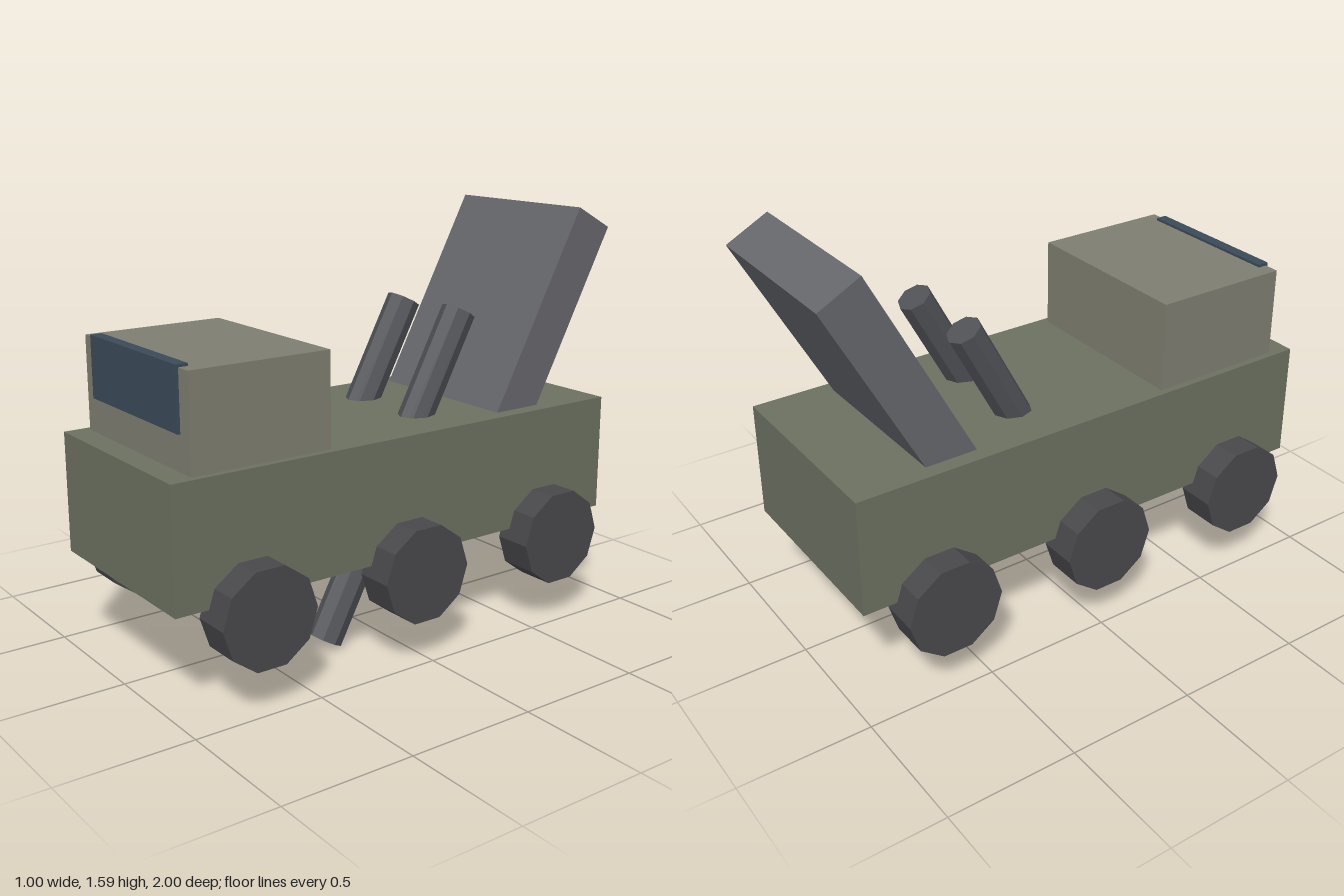
import * as THREE from 'three';

const TILT = -0.49; // backward lean shared by the panel and the tubes

const paint = (color) => new THREE.MeshStandardMaterial({ color, flatShading: true });

export function createModel() {
  const model = new THREE.Group();
  model.name = 'launcherTruck';

  const olive = paint(0x6b7060);
  const paleOlive = paint(0x7d7d70);
  const glass = paint(0x3a4a58);
  const rubber = paint(0x48484b);
  const steel = paint(0x65666b);
  const darkSteel = paint(0x505156);

  function add(name, geometry, material, x, y, z) {
    const mesh = new THREE.Mesh(geometry, material);
    mesh.name = name;
    mesh.position.set(x, y, z);
    model.add(mesh);
    return mesh;
  }

  // Body, cab and windscreen
  add('hull', new THREE.BoxGeometry(0.785, 0.455, 1.945), olive, 0, 0.6125, 0.0275);
  add('cab', new THREE.BoxGeometry(0.73, 0.37, 0.55), paleOlive, 0, 1.005, 0.635);
  add('windscreen', new THREE.BoxGeometry(0.61, 0.23, 0.045), glass, 0, 1.085, 0.897);

  // Slanted panel running down through the hull
  add('panel', new THREE.BoxGeometry(0.665, 1.275, 0.181), steel, 0, 0.985, -0.62).rotation.x = TILT;

  // Pair of slanted tubes passing through the hull
  const tube = new THREE.CylinderGeometry(0.066, 0.066, 1.34, 8);
  for (const [side, x] of [['left', 0.165], ['right', -0.168]]) {
    add(side + 'Tube', tube, darkSteel, x, 0.624, -0.065).rotation.x = TILT;
  }

  // Three axles of ten-sided wheels
  const wheel = new THREE.CylinderGeometry(0.187, 0.187, 0.15, 10).rotateZ(Math.PI / 2);
  [['front', 0.7], ['middle', 0.03], ['rear', -0.64]].forEach(([row, z]) => {
    add(row + 'LeftWheel', wheel, rubber, 0.425, 0.345, z);
    add(row + 'RightWheel', wheel, rubber, -0.425, 0.345, z);
  });

  // Wheel vertices sit on the fore-aft axis, giving flat tops and bottoms
  return model;
}
